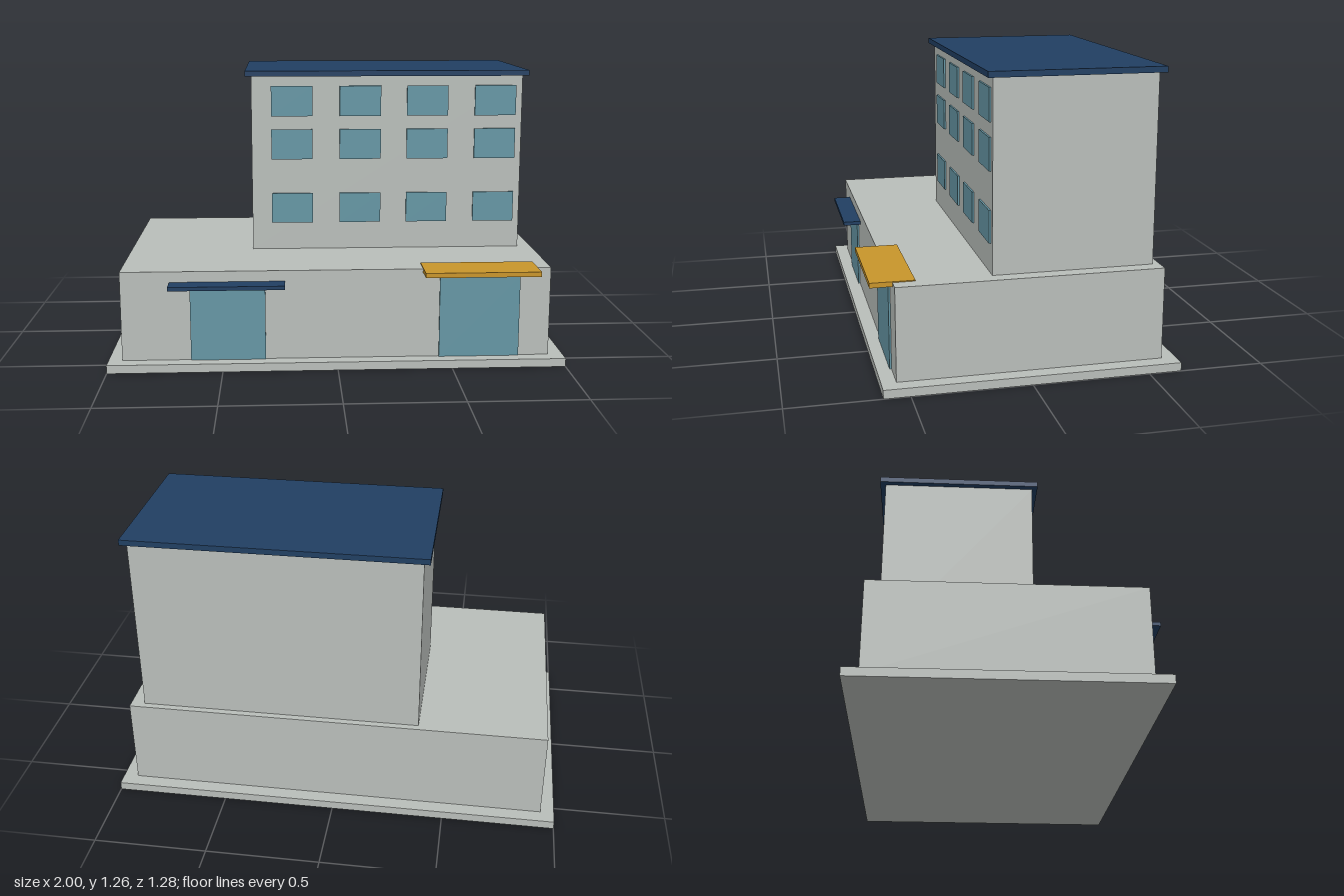
import * as THREE from 'three';

const material = (name, color) => {
  const m = new THREE.MeshStandardMaterial({ color });
  m.name = name;
  return m;
};

export function createModel() {
  const wall = material('pale grey wall', 0xb9beba);
  const navy = material('navy roof', 0x213f62);
  const glass = material('teal glass', 0x6596a4);
  const gold = material('gold awning', 0xc8952b);

  const model = new THREE.Group();
  model.name = 'building';

  // Box given by its minimum and maximum on each axis
  const block = (name, mat, [x0, x1], [y0, y1], [z0, z1], parent = model) => {
    const mesh = new THREE.Mesh(new THREE.BoxGeometry(x1 - x0, y1 - y0, z1 - z0), mat);
    mesh.position.set((x0 + x1) / 2, (y0 + y1) / 2, (z0 + z1) / 2);
    mesh.name = name;
    parent.add(mesh);
  };

  // Stacked volumes
  block('basePlinth', wall, [-1, 1], [0, 0.037], [-0.64, 0.61]);
  block('podium', wall, [-0.94, 0.935], [0.037, 0.434], [-0.577, 0.548]);
  block('tower', wall, [-0.375, 0.873], [0.434, 1.24], [-0.547, 0.141]);
  block('roofSlab', navy, [-0.402, 0.898], [1.24, 1.265], [-0.572, 0.166]);

  // Entrances and their canopies
  block('rightDoor', glass, [-0.64, -0.314], [0.037, 0.385], [0.548, 0.556]);
  block('leftDoor', glass, [0.447, 0.8], [0.037, 0.4], [0.548, 0.556]);
  block('rightCanopy', navy, [-0.728, -0.228], [0.37, 0.387], [0.548, 0.63]);
  block('leftAwning', gold, [0.373, 0.873], [0.417, 0.438], [0.455, 0.64]);

  // Grid of tower windows
  const windows = new THREE.Group();
  windows.name = 'windows';
  model.add(windows);
  for (const y of [0.56, 0.858, 1.057]) {
    for (const x of [-0.285, 0.03, 0.34, 0.654]) {
      block('window', glass, [x, x + 0.19], [y, y + 0.138], [0.141, 0.149], windows);
    }
  }

  return model;
}
